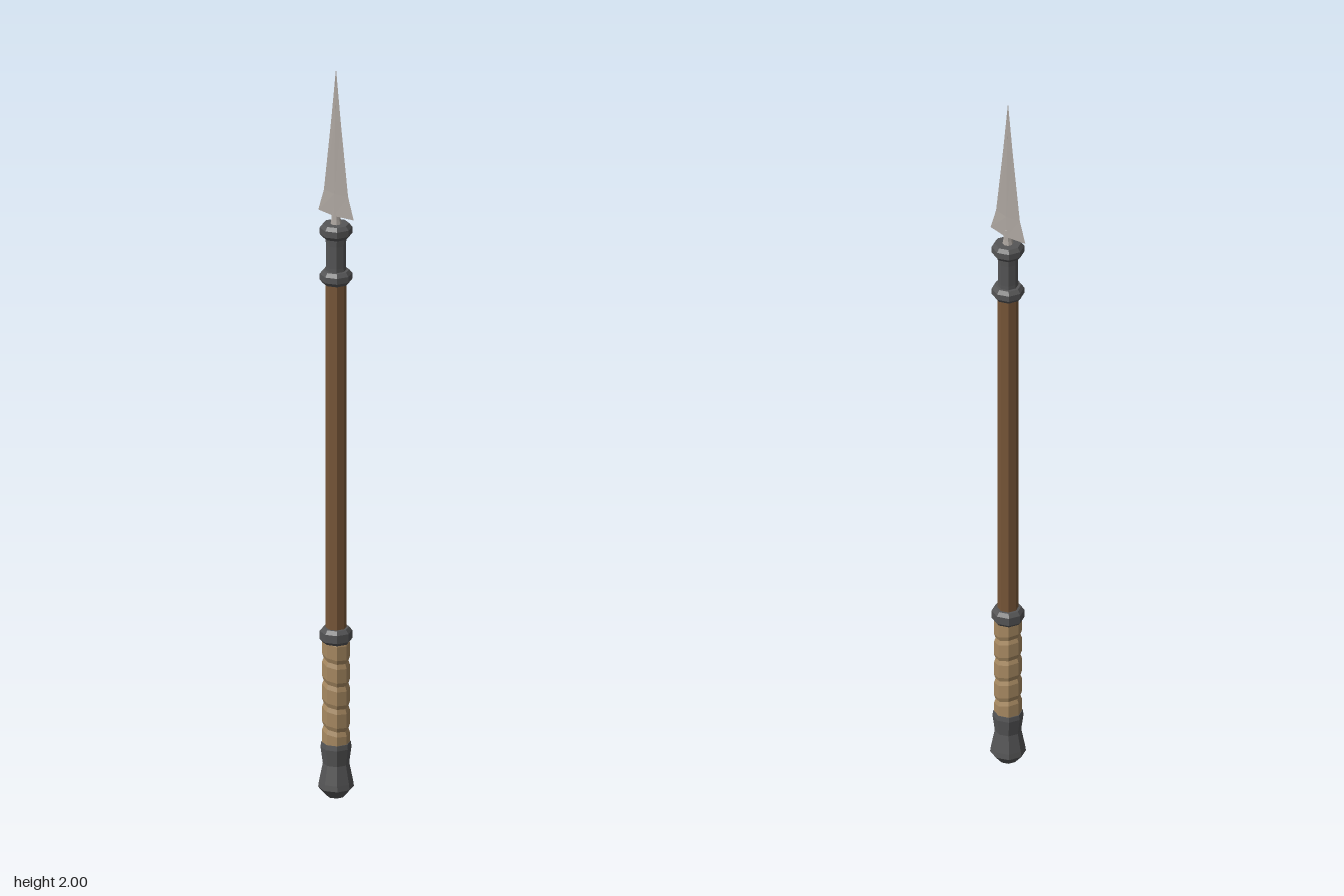
import * as THREE from 'three';

const material = (name, color) => {
  const m = new THREE.MeshStandardMaterial({ color });
  m.name = name;
  return m;
};

// Gives every face its own flat normal
function faceted(geometry) {
  const g = geometry.index ? geometry.toNonIndexed() : geometry;
  g.computeVertexNormals();
  return g;
}

// Eight-sided turned part from [radius, height] pairs, bottom to top
function turned(profile) {
  return new THREE.LatheGeometry(profile.map(([r, y]) => new THREE.Vector2(r, y)), 8);
}

// Diamond cross-sections [height, half width, half thickness], bottom to top
function diamondLoft(sections) {
  const pos = [], index = [];
  for (const [y, w, t] of sections) pos.push(w, y, 0, 0, y, -t, -w, y, 0, 0, y, t);
  for (let s = 0; s < sections.length - 1; s++) {
    for (let i = 0; i < 4; i++) {
      const a = s * 4 + i, b = s * 4 + (i + 1) % 4;
      index.push(a, b, b + 4, a, b + 4, a + 4);
    }
  }
  index.push(0, 2, 1, 0, 3, 2);
  const g = new THREE.BufferGeometry();
  g.setAttribute('position', new THREE.Float32BufferAttribute(pos, 3));
  g.setIndex(index);
  return g;
}

export function createModel() {
  const model = new THREE.Group();
  const iron = material('dark iron', 0x555556);
  const wood = material('brown wood', 0x775638);
  const leather = material('tan leather', 0xa88a62);
  const steel = material('pale steel', 0xaca59f);

  const add = (name, geometry, mat) => {
    const mesh = new THREE.Mesh(faceted(geometry), mat);
    mesh.name = name;
    model.add(mesh);
  };

  // Pommel with a waist and a blunt foot
  add('pommel', turned([[0, 0], [0.024, 0.005], [0.046, 0.03], [0.044, 0.045],
    [0.034, 0.095], [0.04, 0.14], [0.038, 0.153], [0, 0.153]]), iron);

  // Shaft runs from the pommel to the socket
  add('shaft', turned([[0, 0.1], [0.027, 0.1], [0.027, 1.43], [0, 1.43]]), wood);

  // Slanted leather wraps around the grip
  const pitch = 0.062;
  for (let i = 0; i < 5; i++) {
    const y = 0.132 + i * pitch;
    const wrap = turned([[0.026, y], [0.032, y], [0.036, y + 0.012],
      [0.036, y + pitch - 0.012], [0.032, y + pitch], [0.026, y + pitch]]);
    const p = wrap.attributes.position;
    for (let v = 0; v < p.count; v++) p.setY(v, p.getY(v) - 0.2 * p.getX(v));
    add('gripWrap' + (i + 1), wrap, leather);
  }

  // Bevelled rings
  const rings = { gripRing: [0.426, 0.468], lowerSocketRing: [1.414, 1.45], upperSocketRing: [1.54, 1.577] };
  for (const [name, [a, b]] of Object.entries(rings)) {
    add(name, turned([[0, a], [0.034, a], [0.042, a + 0.01],
      [0.042, b - 0.01], [0.034, b], [0, b]]), iron);
  }

  // Socket between the upper rings
  add('socket', turned([[0.028, 1.43], [0.026, 1.46], [0.026, 1.52], [0.028, 1.56]]), iron);

  // Tang and blade
  add('tang', turned([[0.015, 1.57], [0.012, 1.59], [0.009, 1.62], [0, 1.63]]), steel);
  add('blade', diamondLoft([[1.6, 0.06, 0.009], [1.66, 0.041, 0.007], [1.86, 0.016, 0.004], [2, 0.0004, 0.0004]]), steel);

  return model;
}
